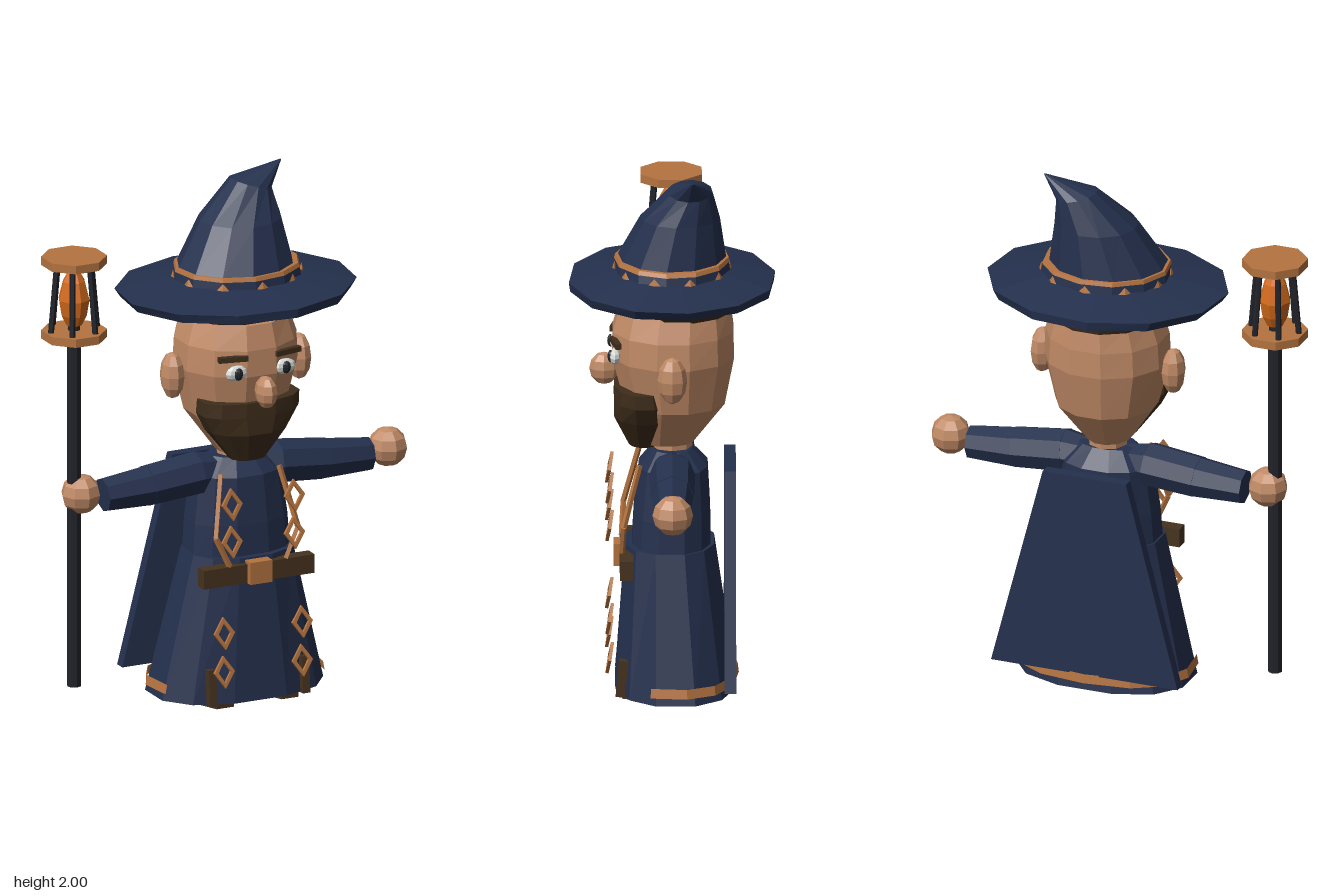
import * as THREE from 'three';

const mat = (name, color) => Object.assign(new THREE.MeshStandardMaterial({ color }), { name });

export function createModel() {
  const model = new THREE.Group();
  const navy = mat('navy cloth', 0x24304d), skin = mat('skin', 0xc08a66);
  const brown = mat('dark brown hair', 0x3f2e1c), leather = mat('leather', 0x46331f);
  const copper = mat('copper trim', 0xb47340), flame = mat('flame orange', 0xd2691a);
  const black = mat('black iron', 0x212329), white = mat('eye white', 0xd6dad6);
  const CX = 0.035; // body axis

  // Add a faceted mesh
  function add(name, geo, material, x = 0, y = 0, z = 0) {
    const flat = geo.index ? geo.toNonIndexed() : geo;
    flat.computeVertexNormals();
    const mesh = new THREE.Mesh(flat, material);
    mesh.name = name;
    mesh.position.set(x, y, z);
    model.add(mesh);
    return mesh;
  }

  // Skin a stack of rings [y, cx, cz, rx, rz, tilt]; below p = 1 the rings get squarer
  function loft(rings, { n = 12, phase = 0, p = 1, from = 0, sweep = Math.PI * 2, caps = true } = {}) {
    const pos = [];
    const bend = (v) => Math.sign(v) * Math.abs(v) ** p;
    const pt = ([y, cx, cz, rx, rz, tilt = 0], i) => {
      const a = from + phase + (i / n) * sweep;
      return [cx + rx * bend(Math.cos(a)), y + tilt * Math.cos(a), cz + rz * bend(Math.sin(a))];
    };
    const tri = (...c) => c.forEach((v) => pos.push(...v));
    const lo = rings[0], hi = rings[rings.length - 1];
    for (let i = 0; i < n; i++) {
      for (let r = 0; r < rings.length - 1; r++) {
        const a = pt(rings[r], i), b = pt(rings[r], i + 1);
        const c = pt(rings[r + 1], i), d = pt(rings[r + 1], i + 1);
        tri(b, a, c);
        tri(b, c, d);
      }
      if (caps) {
        tri([lo[1], lo[0], lo[2]], pt(lo, i), pt(lo, i + 1));
        tri([hi[1], hi[0], hi[2]], pt(hi, i + 1), pt(hi, i));
      }
    }
    const g = new THREE.BufferGeometry();
    g.setAttribute('position', new THREE.Float32BufferAttribute(pos, 3));
    return g;
  }

  // Tapered rod between two points
  function rod(name, a, b, ra, rb, material, sides = 8) {
    const A = new THREE.Vector3(...a), B = new THREE.Vector3(...b);
    const dir = B.clone().sub(A);
    const mesh = add(name, new THREE.CylinderGeometry(rb, ra, dir.length(), sides), material);
    mesh.position.copy(A).add(B).multiplyScalar(0.5);
    mesh.quaternion.setFromUnitVectors(new THREE.Vector3(0, 1, 0), dir.normalize());
    return mesh;
  }

  const ball = (name, m, x, y, z, rx, ry, rz, w = 8, h = 6) =>
    add(name, new THREE.SphereGeometry(1, w, h).scale(rx, ry, rz), m, x, y, z);
  const box = (name, m, x, y, z, w, h, d) => add(name, new THREE.BoxGeometry(w, h, d), m, x, y, z);

  // Hat: brim, bent cone and band
  add('hatBrim', loft([
    [1.54, CX, 0, 0.435, 0.38], [1.575, CX, 0, 0.46, 0.385], [1.615, 0.043, 0, 0.25, 0.21],
  ], { phase: -0.157 }), navy);
  add('hatCone', loft([
    [1.6, 0.04, 0, 0.235, 0.205], [1.66, 0.033, 0, 0.222, 0.2], [1.82, 0.068, -0.03, 0.157, 0.147],
    [1.935, 0.13, -0.067, 0.077, 0.083, -0.02], [2.0, 0.255, -0.075, 0.004, 0.004],
  ], { phase: 0.1 }), navy);
  add('hatBand', loft([[1.59, 0.043, 0, 0.252, 0.218], [1.645, 0.04, 0, 0.24, 0.21]], { phase: 0.1 }), navy);
  add('hatBandTrim', loft([[1.645, 0.04, 0, 0.244, 0.215], [1.66, 0.038, 0, 0.238, 0.21]], { phase: 0.1 }), copper);
  for (let i = 0; i < 10; i++) {
    const a = (i / 10) * Math.PI * 2 + Math.PI / 10;
    const stud = add('hatStud', new THREE.ConeGeometry(0.024, 0.026, 4).scale(1, 1, 0.35), copper,
      0.042 + 0.243 * Math.cos(a), 1.627, 0.212 * Math.sin(a));
    stud.rotation.y = Math.PI / 2 - a;
  }

  // Head, hair and beard
  add('hair', loft([[1.455, CX, -0.025, 0.2, 0.2], [1.485, CX, -0.022, 0.22, 0.212],
    [1.53, CX, -0.02, 0.252, 0.225], [1.55, CX, -0.02, 0.24, 0.22]], { phase: 0.26 }), brown);
  add('head', loft([
    [0.945, CX, 0.02, 0.085, 0.1], [1.1, CX, -0.01, 0.192, 0.19], [1.28, CX, -0.004, 0.236, 0.232],
    [1.38, CX, -0.004, 0.23, 0.23], [1.47, CX, -0.01, 0.2, 0.212],
  ], { phase: 0.26 }), skin);
  add('beard', loft([
    [0.935, 0.03, 0.105, 0.07, 0.055], [1.05, 0.032, 0.095, 0.16, 0.122],
    [1.12, 0.034, 0.1, 0.2, 0.118], [1.175, CX, 0.105, 0.2, 0.112],
  ], { phase: 0.26, p: 0.9 }), brown);
  add('neck', new THREE.CylinderGeometry(0.075, 0.075, 0.14, 8), skin, CX, 0.92, 0);
  ball('nose', skin, 0.037, 1.225, 0.25, 0.04, 0.062, 0.055);
  for (const s of [-1, 1]) {
    ball('ear', skin, CX + s * 0.26, 1.255, 0, 0.045, 0.09, 0.055);
    ball('eye', white, CX + s * 0.098, 1.3, 0.21, 0.046, 0.03, 0.022);
    ball('pupil', black, CX + s * 0.098, 1.3, 0.226, 0.018, 0.024, 0.012);
    const brow = box('eyebrow', brown, CX + s * 0.112, 1.356, 0.208, 0.112, 0.02, 0.022);
    brow.rotation.y = s * 0.2;
  }

  // Robe
  add('torso', loft([
    [0.54, CX, 0.003, 0.205, 0.15], [0.68, CX, 0, 0.195, 0.145],
    [0.86, CX, -0.005, 0.17, 0.13], [0.925, CX, 0, 0.105, 0.075],
  ], { phase: 0.26, p: 0.85 }), navy);
  add('skirt', loft([[0.02, CX, -0.012, 0.34, 0.228], [0.565, CX, 0.008, 0.21, 0.168]],
    { phase: 0.26, p: 0.85 }), navy);
  add('hemTrim', loft([[0.05, CX, -0.013, 0.344, 0.233], [0.085, CX, -0.012, 0.337, 0.23]],
    { n: 8, p: 0.85, from: -Math.PI * 1.11, sweep: Math.PI * 1.22, caps: false }), copper)
    .material.side = THREE.DoubleSide;

  // Cape slab
  const cape = new THREE.Shape([[-0.335, 0.08], [0.405, 0.08], [0.2, 0.875], [-0.13, 0.875]]
    .map(([x, y]) => new THREE.Vector2(x, y)));
  add('cape', new THREE.ExtrudeGeometry(cape, { depth: 0.043, bevelEnabled: false }), navy, 0, 0, -0.235);

  // Belt and buckle
  box('belt', leather, 0.037, 0.51, 0.168, 0.455, 0.072, 0.05);
  box('buckle', copper, CX, 0.515, 0.19, 0.09, 0.085, 0.05);

  // Diamond ornaments
  const diamondPath = (w, h) => [[0, h], [-w, 0], [0, -h], [w, 0]].map(([x, y]) => new THREE.Vector2(x, y));
  const diamond = new THREE.Shape(diamondPath(0.042, 0.061));
  diamond.holes.push(new THREE.Path(diamondPath(0.025, 0.039)));
  const diamondGeo = new THREE.ExtrudeGeometry(diamond, { depth: 0.012, bevelEnabled: false });

  for (const s of [-1, 1]) {
    for (const [dx, y] of [[0.128, 0.8], [0.128, 0.655], [0.16, 0.305], [0.16, 0.155]]) {
      add('diamondOrnament', diamondGeo, copper, CX + s * dx, y, 0.224).rotation.x = -0.17;
    }

    // Lapel trim
    const lapel = [[0.12, 0.885, 0.12], [0.168, 0.66, 0.178], [0.115, 0.545, 0.185]]
      .map(([x, y, z]) => [CX + s * x, y, z]);
    rod('lapelTrim', lapel[0], lapel[1], 0.011, 0.011, copper, 4);
    rod('lapelTrim', lapel[1], lapel[2], 0.011, 0.011, copper, 4);

    // Sleeves and hands
    rod('shoulder', [CX + s * 0.06, 0.865, 0], [CX + s * 0.165, 0.86, 0], 0.06, 0.085, navy);
    rod('sleeve', [CX + s * 0.16, 0.862, 0], [CX + s * 0.36, 0.842, 0], 0.085, 0.08, navy);
    rod('cuff', [CX + s * 0.35, 0.842, 0], [CX + s * 0.545, 0.832, 0], 0.079, 0.064, navy);
    ball('hand', skin, CX - 0.005 + s * 0.63, 0.85, 0, 0.075, 0.075, 0.075);

    // Boots poking through the hem
    add('boot', loft([[0, CX + s * 0.133, 0.03, 0.075, 0.165], [0.03, CX + s * 0.133, 0.03, 0.075, 0.165]],
      { n: 8, phase: Math.PI / 8, p: 0.8 }), leather);
    box('bootSide', leather, CX + s * 0.19, 0.085, 0.172, 0.03, 0.14, 0.06).rotation.x = -0.09;
  }

  // Staff and lantern
  const LX = -0.628;
  rod('staff', [LX, 0.11, 0], [LX, 1.47, 0], 0.027, 0.027, black);
  for (const y of [1.475, 1.76]) {
    add('lanternPlate', new THREE.CylinderGeometry(0.122, 0.122, 0.032, 8).rotateY(Math.PI / 8), copper, LX, y, 0);
  }
  rod('flameHolder', [LX, 1.48, 0], [LX, 1.53, 0], 0.025, 0.022, black);
  add('flame', loft([[1.51, LX, 0, 0.03, 0.03], [1.55, LX, 0, 0.05, 0.05], [1.61, LX, 0, 0.06, 0.06],
    [1.68, LX, 0, 0.042, 0.042], [1.715, LX, 0, 0.022, 0.022]], { n: 8 }), flame);
  for (let i = 0; i < 6; i++) {
    const a = (i / 6) * Math.PI * 2;
    const c = Math.cos(a), s = Math.sin(a);
    rod('lanternBar', [LX + 0.095 * c, 1.485, 0.095 * s], [LX + 0.07 * c, 1.75, 0.07 * s], 0.011, 0.011, black, 6);
  }

  return model;
}
